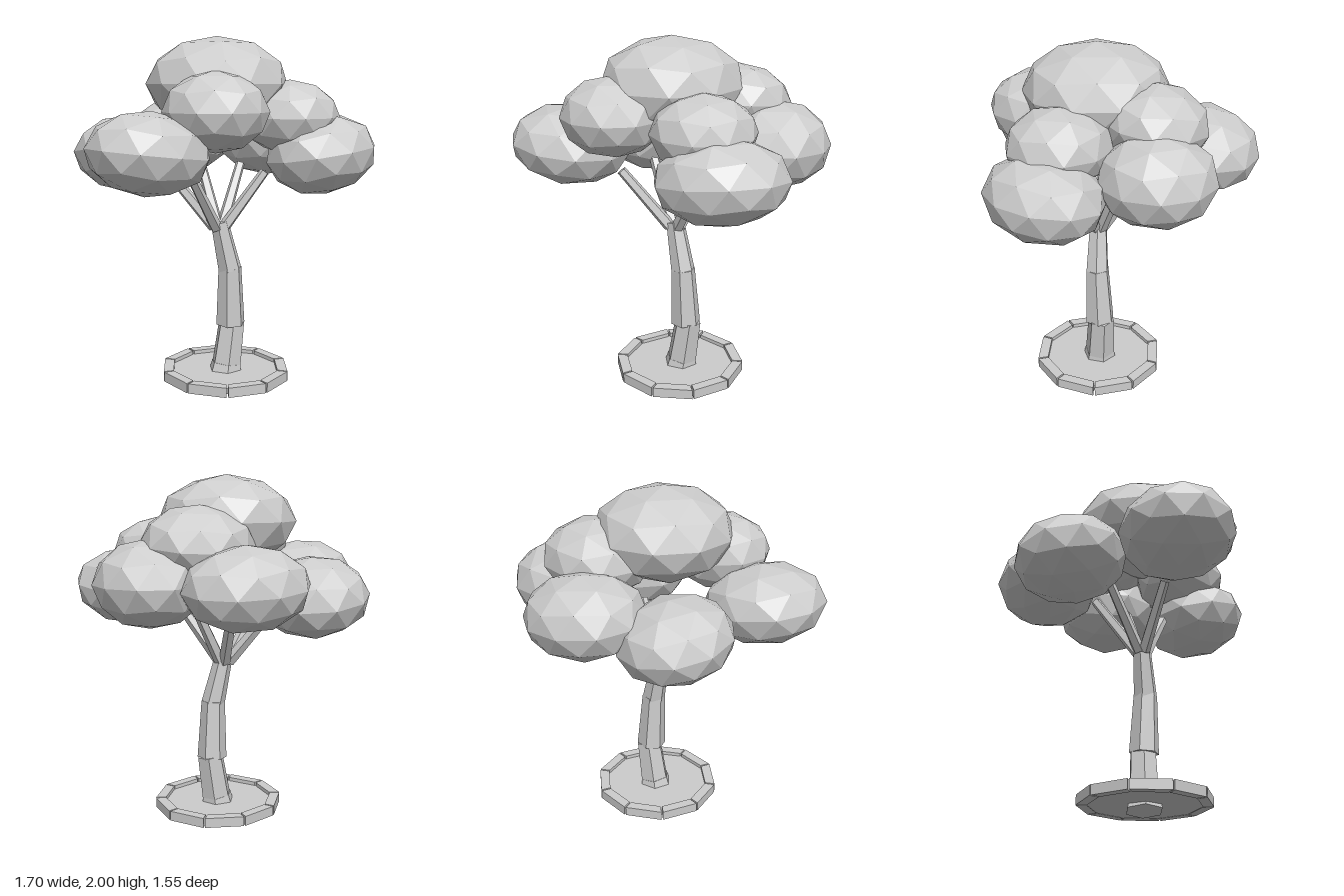
import * as THREE from 'three';

const grey = new THREE.MeshStandardMaterial({ color: 0xcccccc, flatShading: true });
grey.name = 'plain grey';

function add(group, name, geometry) {
  const mesh = new THREE.Mesh(geometry, grey);
  mesh.name = name;
  group.add(mesh);
  return mesh;
}

// Tapered straight limb between two points, spun about its own axis
function limb(group, name, from, to, r0, r1, sides, spin = 0) {
  const a = new THREE.Vector3(...from), b = new THREE.Vector3(...to);
  const dir = b.clone().sub(a);
  const geometry = new THREE.CylinderGeometry(r1, r0, dir.length(), sides).rotateY(spin);
  const mesh = add(group, name, geometry);
  mesh.position.copy(a).add(b).multiplyScalar(0.5);
  mesh.quaternion.setFromUnitVectors(new THREE.Vector3(0, 1, 0), dir.normalize());
}

export function createModel() {
  const tree = new THREE.Group();
  tree.name = 'tree';

  // Round planter: soil disc inside ten edging stones
  const planter = new THREE.Group();
  planter.name = 'planter';
  planter.position.set(0.085, 0, 0.105);
  tree.add(planter);
  const soil = add(planter, 'soil', new THREE.CylinderGeometry(0.34, 0.34, 0.032, 10));
  soil.position.y = 0.063;
  soil.rotation.y = Math.PI / 10;
  const outer = 0.357, inner = 0.3, t = Math.tan(Math.PI / 10);
  const stoneShape = new THREE.Shape([
    new THREE.Vector2(inner, -inner * t + 0.005), new THREE.Vector2(outer, -outer * t + 0.005),
    new THREE.Vector2(outer, outer * t - 0.005), new THREE.Vector2(inner, inner * t - 0.005),
  ]);
  const stoneGeometry = new THREE.ExtrudeGeometry(stoneShape, { depth: 0.056, bevelEnabled: false });
  stoneGeometry.rotateX(-Math.PI / 2);
  for (let i = 0; i < 10; i++) {
    const stone = add(planter, 'edgingStone', stoneGeometry);
    stone.position.y = 0.045;
    stone.rotation.y = i * Math.PI / 5;
  }

  // Bent trunk in three hexagonal sections with a root flare
  limb(tree, 'rootFlare', [0.085, 0.018, 0.1], [0.099, 0.115, 0.1], 0.108, 0.09, 6, Math.PI / 6);
  limb(tree, 'trunkLower', [0.088, 0.03, 0.1], [0.138, 0.365, 0.1], 0.092, 0.078, 6, Math.PI / 6);
  limb(tree, 'trunkMiddle', [0.124, 0.35, 0.105], [0.11, 0.69, 0.115], 0.086, 0.069, 6, 0.15);
  limb(tree, 'trunkUpper', [0.11, 0.68, 0.115], [0.05, 0.96, 0.092], 0.069, 0.052, 6, 0.2);

  // Branches fanning out from the trunk top
  const branches = [
    [[0.02, 0.93, 0.1], [-0.23, 1.255, 0.2]],
    [[0.025, 0.93, 0.075], [-0.19, 1.28, -0.12]],
    [[0.07, 0.93, 0.11], [0.26, 1.25, 0.24]],
    [[0.075, 0.93, 0.085], [0.26, 1.28, 0.02]],
    [[0.055, 0.93, 0.07], [0.115, 1.29, -0.18]],
  ];
  for (const [base, tip] of branches) limb(tree, 'branch', base, tip, 0.036, 0.028, 5);

  // Faceted foliage clumps: centre, radii, facet yaw, then pitch, turn and roll
  const clumps = [
    [[-0.525, 1.39, 0.24], [0.34, 0.22, 0.32], 0.3, [0, 0.3, -0.12]],
    [[0.475, 1.355, 0.47], [0.35, 0.225, 0.3], 0.75, [-0.12, 0.35, 0.1]],
    [[0.56, 1.425, -0.09], [0.305, 0.24, 0.315], 0.7, [0, 0, 0]],
    [[0.175, 1.42, -0.47], [0.345, 0.225, 0.305], 0.1, [-0.06, 0, -0.06]],
    [[-0.29, 1.34, -0.335], [0.315, 0.22, 0.32], 0.5, [-0.12, 0, -0.12]],
    [[-0.185, 1.6, 0.36], [0.285, 0.215, 0.28], 0.9, [0, 0, 0]],
    [[0.33, 1.56, 0.36], [0.28, 0.205, 0.28], 0.2, [0, 0, 0]],
    [[0.305, 1.63, -0.15], [0.315, 0.21, 0.29], 0.6, [-0.12, 0, 0]],
    [[0.03, 1.742, 0.09], [0.395, 0.26, 0.4], 0.4, [0, 0, 0]],
  ];
  const poleUp = -Math.atan(2 / (1 + Math.sqrt(5)));
  for (const [centre, radii, yaw, [pitch, turn, roll]] of clumps) {
    const geometry = new THREE.IcosahedronGeometry(1, 1);
    geometry.rotateZ(poleUp).rotateY(yaw).scale(...radii);
    geometry.rotateY(turn).rotateX(pitch).rotateZ(roll);
    add(tree, 'foliageClump', geometry).position.set(...centre);
  }
  return tree;
}
